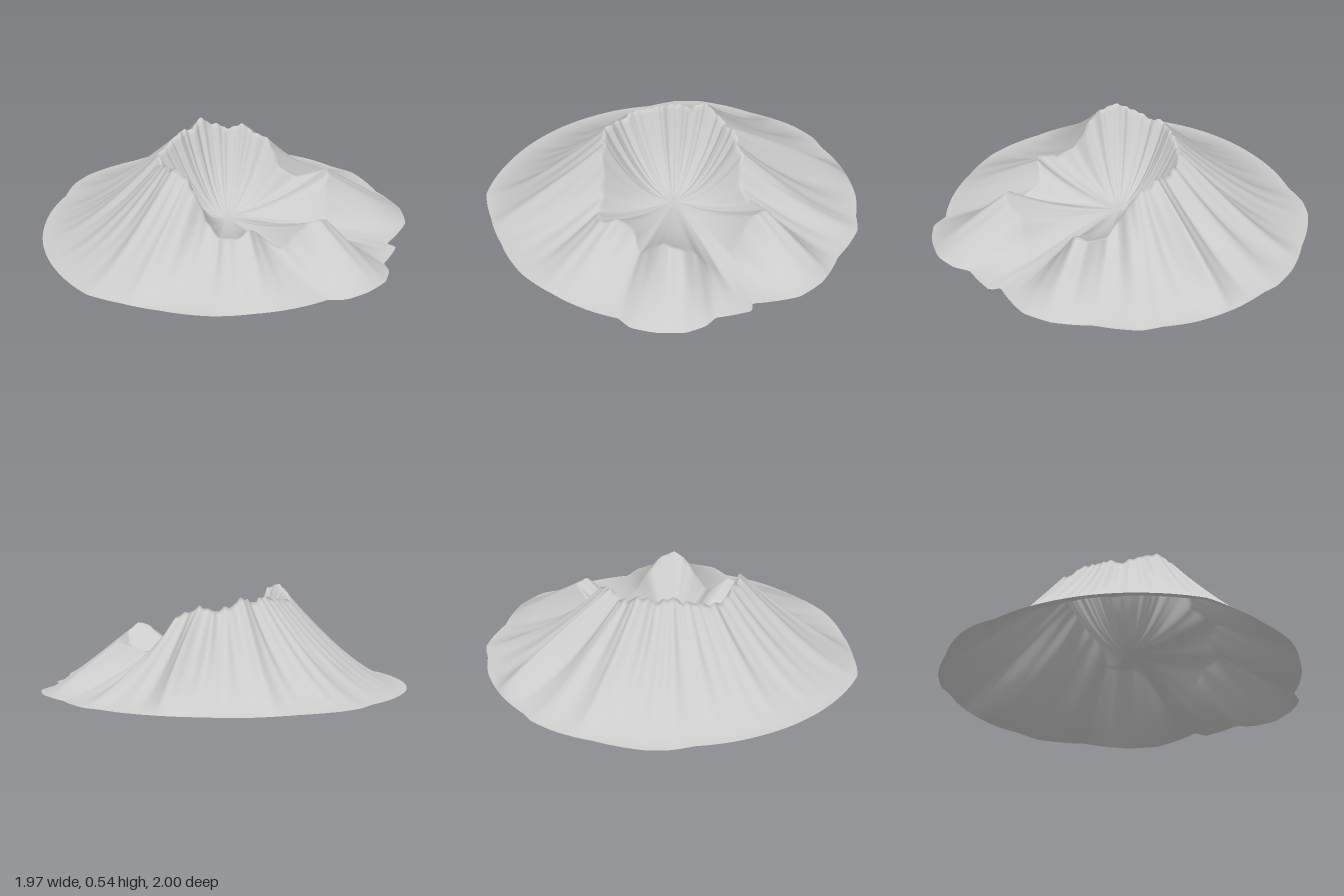
import * as THREE from 'three';

// Bearings in degrees, from +x towards +z. Pairs: bearing, radius of the ground outline.
const OUTLINE = [
  [0, 0.97], [7, 0.985], [22, 0.94], [36, 0.97], [46, 0.96], [53, 0.91], [61, 0.855], [63, 0.91],
  [76, 0.895], [80, 0.955], [87, 1], [96, 1.0], [104, 0.98], [109, 0.92], [120, 0.92], [135, 0.92],
  [149, 0.94], [167, 0.94], [180, 0.965], [192, 1.01], [210, 0.99], [224, 0.98], [241, 0.97],
  [263, 0.965], [271, 1], [278, 1.01], [295, 0.99], [309, 1.01], [318, 1.01], [323, 0.99],
  [335, 0.99], [350, 0.985],
];

// Crest of the crater rim and the front peaks: bearing, radius, height.
const CREST = [
  [0, 0.36, 0.43], [8, 0.36, 0.36], [15, 0.37, 0.28], [22, 0.43, 0.23], [31, 0.58, 0.28],
  [38, 0.56, 0.29], [45, 0.52, 0.2], [55, 0.52, 0.07], [65, 0.56, 0.04], [72, 0.57, 0.1],
  [78, 0.58, 0.19], [86, 0.61, 0.26], [92, 0.62, 0.29], [97, 0.59, 0.28], [104, 0.55, 0.2],
  [110, 0.52, 0.14], [116, 0.46, 0.17], [122, 0.43, 0.22], [130, 0.47, 0.27], [140, 0.52, 0.24],
  [150, 0.45, 0.22], [160, 0.4, 0.29], [170, 0.38, 0.42], [178, 0.37, 0.5], [188, 0.37, 0.52],
  [200, 0.37, 0.52], [210, 0.36, 0.49], [222, 0.36, 0.47], [232, 0.36, 0.48], [245, 0.33, 0.5],
  [255, 0.31, 0.5], [266, 0.3, 0.53], [275, 0.3, 0.52], [290, 0.31, 0.51], [302, 0.34, 0.54],
  [312, 0.35, 0.49], [325, 0.33, 0.47], [338, 0.34, 0.49], [350, 0.34, 0.46],
];

// Steepness of the outer slope: 1 is a straight ridge, more is a hollow flank.
const FALLOFF = [
  [0, 1.5], [6, 1.25], [15, 1.5], [24, 1.3], [31, 1.0], [40, 1.1], [55, 1.3], [75, 1.2], [92, 1.0],
  [110, 1.3], [122, 1.2], [138, 1.05], [152, 1.5], [168, 1.5], [177, 1.1], [186, 1.35], [200, 1.55],
  [262, 1.55], [268, 1.45], [275, 1.55], [294, 1.5], [301, 1.25], [308, 1.5], [319, 1.3], [328, 1.4],
  [338, 0.85], [347, 1.5],
];

// Linear lookup in a table that wraps round the full circle.
function lookup(table, deg, col = 1) {
  let i = table.length - 1;
  while (table[i][0] > deg) i--;
  const a = table[i];
  const wraps = i === table.length - 1;
  const b = wraps ? table[0] : table[i + 1];
  const k = (deg - a[0]) / (b[0] + (wraps ? 360 : 0) - a[0]);
  return a[col] + (b[col] - a[col]) * k;
}

// Periodic ripple used for gullies and the ragged rim, range about -1..1.
function ripple(a, shift) {
  return 0.4 * Math.sin(17 * a + shift) + 0.35 * Math.sin(29 * a + 2 * shift + 1) +
    0.25 * Math.sin(47 * a - shift + 2);
}

const SEGMENTS = 300, INNER = 24, OUTER = 40, FLOOR = 0.11;

function terrainPoint(ring, seg) {
  const a = (seg / SEGMENTS) * Math.PI * 2;
  const deg = (seg / SEGMENTS) * 360;
  const edge = lookup(OUTLINE, deg);
  const rim = lookup(CREST, deg, 1) + 0.012 * ripple(a, 0.5);
  const top = lookup(CREST, deg, 2) * (1 + 0.025 * ripple(a, 2));
  let r, y;
  if (ring <= INNER) {
    // crater bowl rising from the floor to the crest
    const t = ring / INNER;
    r = rim * t;
    y = FLOOR + (top - FLOOR) * Math.pow(t, 2) + 0.03 * top * t * (1 - t) * ripple(a, 4);
  } else {
    // outer flank falling to the ground, cut by shallow gullies
    const u = (ring - INNER) / OUTER;
    r = rim + (edge - rim) * u;
    y = top * Math.pow(1 - u, lookup(FALLOFF, deg));
    y += 0.16 * top * u * (1 - u) * (1 - u) * ripple(a, 1 + 1.5 * u);
  }
  return [r * Math.cos(a), Math.max(y, 0), r * Math.sin(a)];
}

export function createModel() {
  const positions = [0, FLOOR, 0];
  const index = [];
  const rings = INNER + OUTER;
  const id = (ring, seg) => 1 + (ring - 1) * SEGMENTS + (seg % SEGMENTS);
  for (let i = 1; i <= rings; i++) {
    for (let j = 0; j < SEGMENTS; j++) {
      positions.push(...terrainPoint(i, j));
      if (i === 1) {
        index.push(0, id(1, j + 1), id(1, j));
      } else {
        const a = id(i - 1, j), b = id(i - 1, j + 1), c = id(i, j + 1), d = id(i, j);
        index.push(a, b, c, a, c, d);
      }
    }
  }

  // open shell of the mountain
  const geometry = new THREE.BufferGeometry();
  geometry.setAttribute('position', new THREE.Float32BufferAttribute(positions, 3));
  geometry.setIndex(index);
  geometry.computeVertexNormals();
  const material = new THREE.MeshStandardMaterial({ color: 0xcccccc, side: THREE.DoubleSide });
  const mountain = new THREE.Mesh(geometry, material);
  mountain.name = 'craterMountain';

  const model = new THREE.Group();
  model.name = 'mountainTerrain';
  model.add(mountain);
  return model;
}
